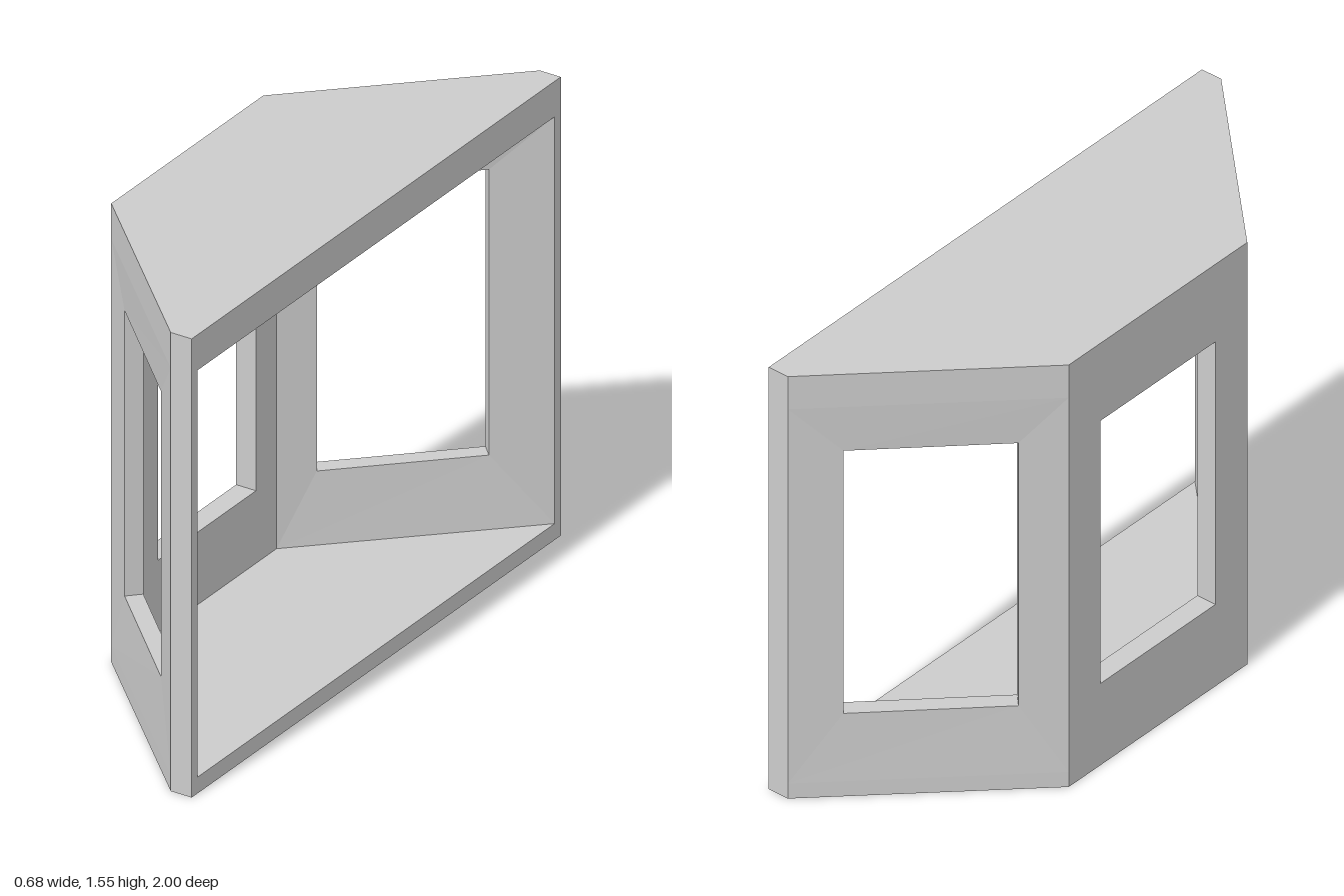
import * as THREE from 'three';

const FLOOR = 0.055, CEILING = 1.43, TOP = 1.55;
const SILL = 0.30, HEAD = 1.265;

const material = new THREE.MeshStandardMaterial({ color: 0xcccccc, flatShading: true });

// Vertical prism over a plan outline of [x, z] points
function prism(name, plan, y0, y1) {
  const shape = new THREE.Shape(plan.map(([x, z]) => new THREE.Vector2(x, z)));
  const geometry = new THREE.ExtrudeGeometry(shape, { depth: y1 - y0, bevelEnabled: false });
  geometry.rotateX(Math.PI / 2).translate(0, y1, 0);
  const mesh = new THREE.Mesh(geometry, material);
  mesh.name = name;
  return mesh;
}

// Wall with a window: four rectangular loops running from the outer edge,
// through the opening, to the inner edge. Each loop is [start, end] in plan.
function windowWall(name, plans) {
  const heights = [[FLOOR, CEILING], [SILL, HEAD], [SILL, HEAD], [FLOOR, CEILING]];
  const loops = plans.map(([s, e], i) => {
    const [y0, y1] = heights[i];
    return [[s[0], y0, s[1]], [e[0], y0, e[1]], [e[0], y1, e[1]], [s[0], y1, s[1]]];
  });
  const positions = [];
  for (let k = 0; k < 3; k++) {
    for (let i = 0; i < 4; i++) {
      const j = (i + 1) % 4;
      const a = loops[k][i], b = loops[k][j], c = loops[k + 1][j], d = loops[k + 1][i];
      positions.push(...a, ...b, ...c, ...a, ...c, ...d);
    }
  }
  const geometry = new THREE.BufferGeometry();
  geometry.setAttribute('position', new THREE.Float32BufferAttribute(positions, 3));
  geometry.computeVertexNormals();
  const mesh = new THREE.Mesh(geometry, material);
  mesh.name = name;
  return mesh;
}

const flip = ([x, z]) => [x, -z];

export function createModel() {
  const group = new THREE.Group();
  group.name = 'bayWindow';

  // Floor and roof slabs
  const half = [[0.338, 1], [0.263, 1], [-0.338, 0.412]];
  const plan = [...half, ...half.map(flip).reverse()];
  group.add(prism('floor', plan, 0, FLOOR), prism('roof', plan, CEILING, TOP));

  // Middle wall
  group.add(windowWall('middleWall', [
    [[-0.338, -0.412], [-0.338, 0.412]],
    [[-0.338, -0.265], [-0.338, 0.265]],
    [[-0.267, -0.265], [-0.267, 0.265]],
    [[-0.267, -0.376], [-0.267, 0.376]],
  ]));

  // Angled walls, slightly thinner around the opening, and their end posts
  const angled = [
    [[-0.338, 0.412], [0.263, 1]],
    [[-0.225, 0.511], [0.148, 0.879]],
    [[-0.185, 0.470], [0.188, 0.838]],
    [[-0.267, 0.376], [0.338, 0.967]],
  ];
  const post = [[0.338, 1], [0.263, 1], [0.338, 0.967]];
  group.add(
    windowWall('frontAngledWall', angled),
    windowWall('backAngledWall', angled.map(([s, e]) => [flip(e), flip(s)])),
    prism('frontEndPost', post, FLOOR, CEILING),
    prism('backEndPost', post.map(flip), FLOOR, CEILING),
  );
  return group;
}
